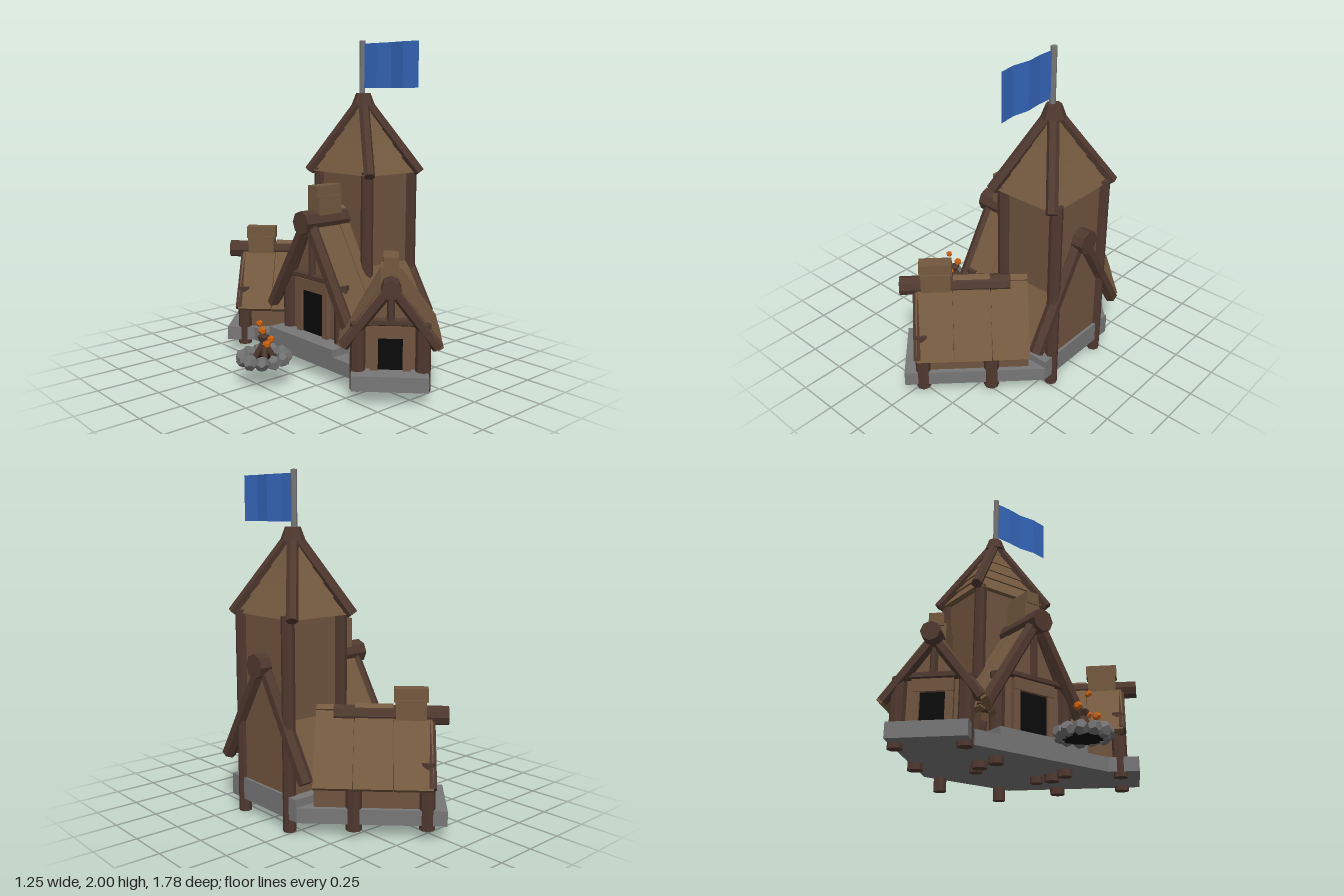
import * as THREE from 'three';

const mat = (color, side = THREE.FrontSide) =>
  new THREE.MeshStandardMaterial({ color, flatShading: true, side });
const M = {
  wall: mat(0x70543f), roof: mat(0x73593f), beam: mat(0x4f392f), slab: mat(0x777777),
  stone: mat(0x707070), dark: mat(0x0b0b0b), ember: mat(0xc9600f), flag: mat(0x3568bd, THREE.DoubleSide),
};
const V = (x, y, z) => new THREE.Vector3(x, y, z);

function add(parent, name, geo, material, x = 0, y = 0, z = 0) {
  const m = new THREE.Mesh(geo, material);
  m.name = name;
  m.position.set(x, y, z);
  parent.add(m);
  return m;
}
function box(parent, name, material, x0, x1, y0, y1, z0, z1) {
  return add(parent, name, new THREE.BoxGeometry(x1 - x0, y1 - y0, z1 - z0), material,
    (x0 + x1) / 2, (y0 + y1) / 2, (z0 + z1) / 2);
}
// Round timber between two points
function log(parent, name, a, b, r, sides = 8, material = M.beam) {
  const d = b.clone().sub(a);
  const m = add(parent, name, new THREE.CylinderGeometry(r, r, d.length(), sides), material);
  m.position.copy(a).add(b).multiplyScalar(0.5);
  m.quaternion.setFromUnitVectors(V(0, 1, 0), d.normalize());
  return m;
}
function polygon(points) {
  return new THREE.Shape(points.map(([x, y]) => new THREE.Vector2(x, y)));
}

// Gabled house: ridge along local x, door gable at +x
function house(name, o) {
  const g = new THREE.Group();
  g.name = name;
  const slope = (o.ridge - o.eaveY) / o.eave;
  const under = (z) => o.ridge - 0.035 - slope * z;

  // Walls with both gables
  const h = o.half;
  const walls = new THREE.ExtrudeGeometry(
    polygon([[-h, o.floor - 0.02], [h, o.floor - 0.02], [h, under(h)], [0, under(0)], [-h, under(h)]]),
    { depth: o.wall[1] - o.wall[0], bevelEnabled: false });
  walls.rotateY(Math.PI / 2);
  add(g, 'walls', walls, M.wall, o.wall[0]);

  // Roof panels, three per slope with a slight step between them
  const run = Math.hypot(o.eave, o.ridge - o.eaveY), tilt = Math.atan(slope);
  const step = (o.roof[1] - o.roof[0]) / 3;
  for (const s of [-1, 1]) {
    for (let i = 0; i < 3; i++) {
      const len = run + [0, 0.008, 0][i];
      const p = add(g, 'roofPanel', new THREE.BoxGeometry(step - 0.004, 0.036, len), M.roof,
        o.roof[0] + step * (i + 0.5),
        (o.ridge + o.eaveY) / 2 - 0.018 * Math.cos(tilt) + [0, 0.004, 0][i],
        s * (o.eave / 2 - 0.018 * Math.sin(tilt)));
      p.rotation.x = s * tilt;
    }
    // Gable rafters and corner posts
    for (const x of o.rafters)
      log(g, 'rafter', V(x, o.ridge - 0.07, s * 0.01), V(x, o.eaveY - 0.005, s * (o.eave - 0.03)), o.rafterR, 6);
    for (const x of o.posts)
      log(g, 'cornerPost', V(x, o.foot, s * h), V(x, under(h) + 0.01, s * h), 0.043);
    // Gable braces
    log(g, 'brace', V(o.wall[1] + 0.025, o.tie, s * h * 0.75),
      V(o.wall[1] + 0.025, o.ridge - 0.1, s * 0.02), 0.018, 6);
  }

  // Ridge beam and stepped ridge cap
  log(g, 'ridgeBeam', V(o.beam[0], o.ridge - o.beamR, 0), V(o.beam[1], o.ridge - o.beamR, 0), o.beamR);
  const [c0, c1, ct] = o.cap;
  box(g, 'ridgeCapBase', M.roof, c0 + 0.01, c1 - 0.01, o.ridge - 0.09, ct - 0.06, -0.055, 0.055);
  box(g, 'ridgeCap', M.roof, c0, c1, ct - 0.075, ct, -0.042, 0.042);

  // Door, frame, tie beam and king post
  const x = o.wall[1], d = o.door;
  box(g, 'doorway', M.dark, x - 0.02, x + 0.012, o.floor, o.doorTop, -d, d);
  for (const s of [-1, 1])
    box(g, 'doorJamb', M.wall, x - 0.01, x + 0.03, o.floor, o.doorTop, s * (d + 0.022) - 0.022, s * (d + 0.022) + 0.022);
  box(g, 'doorLintel', M.wall, x - 0.01, x + 0.035, o.doorTop, o.tie - 0.02, -d - 0.044, d + 0.044);
  log(g, 'tieBeam', V(x + 0.02, o.tie, -h * 0.85), V(x + 0.02, o.tie, h * 0.85), 0.024, 6);
  log(g, 'kingPost', V(x + 0.025, o.tie, 0), V(x + 0.025, o.ridge - 0.08, 0), 0.022, 6);
  return g;
}

function tower() {
  const g = new THREE.Group();
  g.name = 'tower';
  const cx = 0.355;
  box(g, 'towerWalls', M.wall, 0.175, 0.555, 0.2, 1.2, -0.215, 0.215);
  for (const x of [0.178, 0.555])
    for (const z of [-0.215, 0.215])
      log(g, 'towerPost', V(x, x > 0.4 ? 0 : 0.04, z), V(x, 1.21, z), 0.038);

  // Overlapping plank courses of the pyramid roof
  const levels = [1.19, 1.29, 1.37, 1.46, 1.56, 1.65];
  const width = (y) => (1.67 - y) / 0.48;
  for (let i = 0; i < 5; i++) {
    const y0 = levels[i], y1 = levels[i + 1];
    const geo = new THREE.CylinderGeometry(width(y1) * Math.SQRT2 * 0.96, width(y0) * Math.SQRT2 * 1.04, y1 - y0, 4);
    geo.rotateY(Math.PI / 4);
    geo.scale(0.208, 1, 0.25);
    add(g, 'roofCourse', geo, M.roof, cx - 0.01 * (i / 5), (y0 + y1) / 2, 0);
  }
  // Hip beams and peak knob
  for (const sx of [-1, 1])
    for (const sz of [-1, 1])
      log(g, 'hipBeam', V(cx + sx * 0.217, 1.19, sz * 0.275), V(0.345, 1.65, 0), 0.034, 6);
  add(g, 'peakKnob', new THREE.CylinderGeometry(0.045, 0.073, 0.075, 8), M.beam, 0.345, 1.643, 0);

  // Flag on its pole
  log(g, 'flagPole', V(0.335, 1.64, 0), V(0.335, 2, 0), 0.018, 8, M.slab);
  const flag = new THREE.PlaneGeometry(0.43, 0.27, 4, 1);
  flag.rotateY(-Math.PI / 2);
  const p = flag.attributes.position, wave = [0, 0.005, 0.022, 0.012, 0.03];
  for (let i = 0; i < p.count; i++) p.setX(i, wave[Math.round((p.getZ(i) + 0.215) / 0.1075)]);
  flag.computeVertexNormals();
  add(g, 'flag', flag, M.flag, 0.335, 1.845, 0.225);
  return g;
}

function campfire() {
  const g = new THREE.Group();
  g.name = 'campfire';
  g.position.set(-0.46, 0, 0.022);
  add(g, 'ashBed', new THREE.CylinderGeometry(0.115, 0.115, 0.02, 11), M.dark, 0, 0.14, 0);
  for (let i = 0; i < 11; i++) {
    const a = (i / 11) * Math.PI * 2;
    const s = add(g, 'stone', new THREE.DodecahedronGeometry(0.043 + 0.003 * (i % 2)), M.stone,
      Math.cos(a) * 0.126, 0.16, Math.sin(a) * 0.122);
    s.rotation.set(i * 1.3, i * 0.7, i * 2.1);
  }
  for (let i = 0; i < 4; i++) {
    const a = i * Math.PI / 2 + 0.5;
    log(g, 'fireLog', V(Math.cos(a) * 0.06, 0.15, Math.sin(a) * 0.06),
      V(-Math.cos(a) * 0.022, 0.29, -Math.sin(a) * 0.022), 0.017, 6);
  }
  const embers = [[-0.035, 0.37, 0.01, 0.02], [0.01, 0.31, -0.025, 0.025], [-0.03, 0.26, 0.07, 0.024], [0.015, 0.275, 0.05, 0.022]];
  for (const [x, y, z, r] of embers) add(g, 'ember', new THREE.DodecahedronGeometry(r), M.ember, x, y, z);
  return g;
}

export function createModel() {
  const root = new THREE.Group();
  root.name = 'longhouse';

  // Stone platform
  const half = [[0.58, 0.31], [0, 0.89], [-0.3, 0.59], [-0.175, 0.465]];
  const outline = [...half, ...half.map(([x, z]) => [x, -z]).reverse()];
  const base = new THREE.ExtrudeGeometry(polygon(outline), { depth: 0.085, bevelEnabled: false });
  base.rotateX(-Math.PI / 2);
  add(root, 'platform', base, M.slab, 0, 0.08, 0);
  box(root, 'hallPlatform', M.slab, -0.175, 0.582, 0.082, 0.21, -0.305, 0.305);

  // Main hall, door toward -x
  const hall = house('hall', {
    wall: [-0.565, 0.05], roof: [-0.53, 0.12], half: 0.24, eave: 0.4, eaveY: 0.32, ridge: 0.985,
    floor: 0.21, foot: 0.04, posts: [0.05], rafters: [0.1, -0.562], rafterR: 0.042,
    beam: [-0.63, 0.165], beamR: 0.072, cap: [-0.125, 0.07, 1.13], door: 0.1, doorTop: 0.48, tie: 0.57,
  });
  hall.rotation.y = Math.PI;
  root.add(hall);

  // Two diagonal wings
  for (const s of [1, -1]) {
    const wing = house(s > 0 ? 'leftWing' : 'rightWing', {
      wall: [-0.1, 0.5], roof: [-0.1, 0.55], half: 0.18, eave: 0.29, eaveY: 0.31, ridge: 0.7,
      floor: 0.165, foot: 0.052, posts: [0.52], rafters: [0.535], rafterR: 0.034,
      beam: [0, 0.64], beamR: 0.055, cap: [0.335, 0.525, 0.8], door: 0.068, doorTop: 0.35, tie: 0.44,
    });
    wing.position.set(0.297, 0, s * 0.297);
    wing.rotation.y = -s * Math.PI * 0.75;
    root.add(wing);
    // Piles under the wing's long sides
    for (const z of [-0.18, 0.18])
      log(wing, 'pile', V(0.12, 0.04, z), V(0.12, 0.3, z), 0.045);
  }

  root.add(tower(), campfire());
  return root;
}
